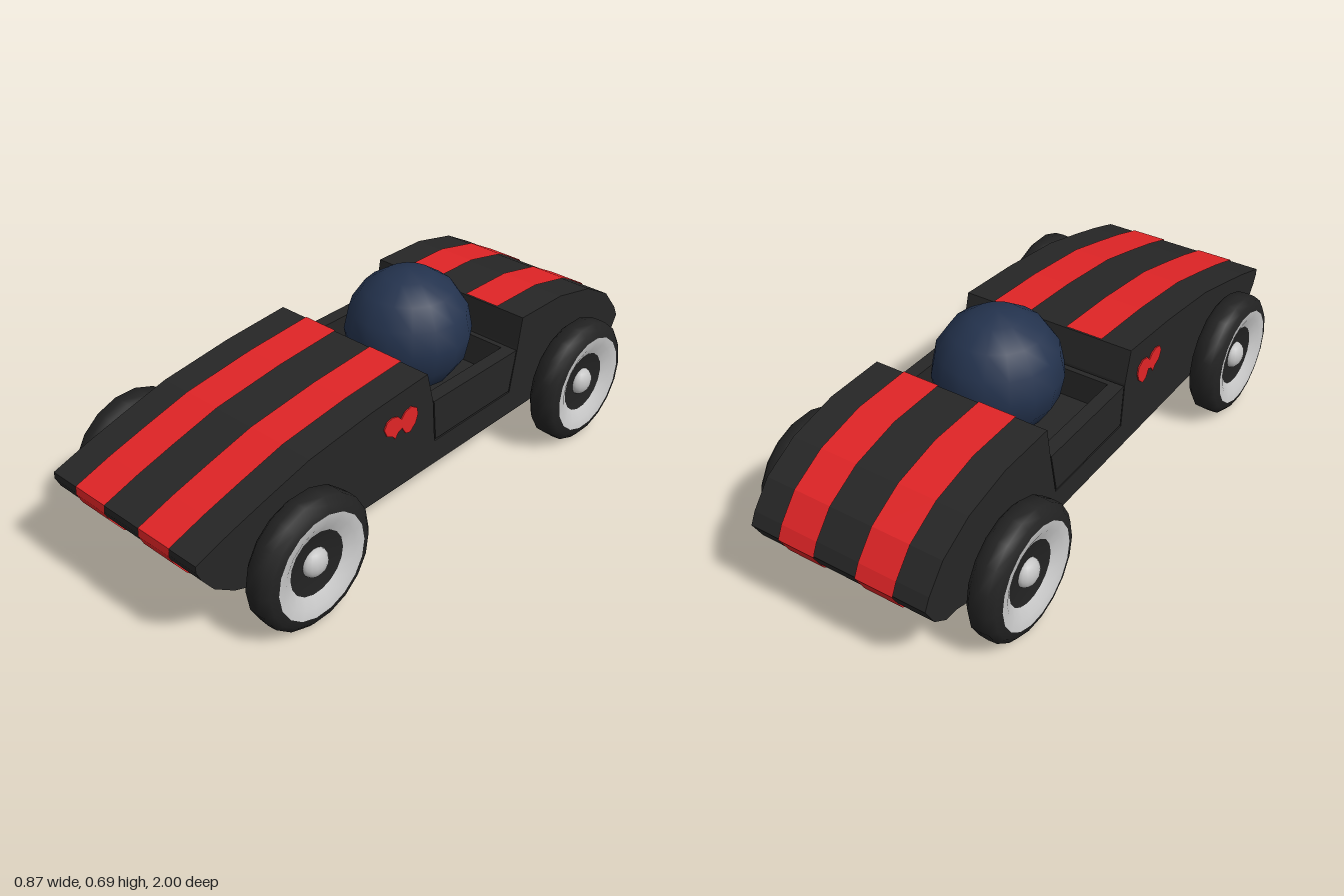
import * as THREE from 'three';

const mat = (name, color, side = THREE.FrontSide) => {
  const m = new THREE.MeshStandardMaterial({ color, side });
  m.name = name;
  return m;
};

export function createModel() {
  const model = new THREE.Group();
  model.name = 'toyRacer';
  const black = mat('black paint', 0x262626);
  const tyreBlack = mat('tyre rubber', 0x222222);
  const red = mat('red stripe', 0xe02426, THREE.DoubleSide);
  const navy = mat('navy blue', 0x24334e);
  const white = mat('whitewall', 0xcacaca);
  const silver = mat('silver metal', 0xc4c4c4);

  const add = (parent, name, geometry, material) => {
    const mesh = new THREE.Mesh(geometry, material);
    mesh.name = name;
    parent.add(mesh);
    return mesh;
  };

  // Side outline given as [z, y], extruded across x from x0 to x1
  const sideExtrude = (points, x0, x1) => {
    const shape = new THREE.Shape(points.map(([z, y]) => new THREE.Vector2(z, y)));
    const g = new THREE.ExtrudeGeometry(shape, { depth: x1 - x0, bevelEnabled: false });
    g.translate(0, 0, -x1);
    g.rotateY(-Math.PI / 2);
    return g;
  };

  // Body: front and rear decks joined below the cockpit notch
  const frontDeck = [
    [0.82, 0.18], [0.87, 0.2], [0.94, 0.25], [0.98, 0.305], [0.996, 0.34], [0.996, 0.362],
    [0.87, 0.402], [0.74, 0.437], [0.57, 0.48], [0.31, 0.512], [0.065, 0.529],
  ];
  const rearDeck = [
    [-0.41, 0.527], [-0.62, 0.524], [-0.79, 0.486], [-0.91, 0.42], [-0.976, 0.34],
    [-0.996, 0.3], [-0.96, 0.235], [-0.91, 0.2],
  ];
  const notch = [[0.035, 0.42], [0.022, 0.265], [-0.362, 0.265], [-0.392, 0.42]];
  add(model, 'body', sideExtrude(
    [...frontDeck, ...notch, ...rearDeck, [-0.86, 0.198], [-0.8, 0.18]], -0.31, 0.31), black);

  // Cockpit tub set into the notch with a fine seam around it
  const tub = new THREE.Group();
  tub.name = 'cockpitTub';
  model.add(tub);
  const panel = [[0.017, 0.271], [0.03, 0.415], [-0.387, 0.415], [-0.358, 0.271]];
  add(tub, 'leftPanel', sideExtrude(panel, 0.262, 0.31), black);
  add(tub, 'rightPanel', sideExtrude(panel, -0.31, -0.262), black);
  add(tub, 'floor', sideExtrude(
    [[0.017, 0.271], [0.02, 0.32], [-0.367, 0.32], [-0.358, 0.271]], -0.262, 0.262), black);
  add(tub, 'frontWall', sideExtrude(
    [[0.017, 0.31], [0.03, 0.415], [0.01, 0.415], [0, 0.31]], -0.262, 0.262), black);
  add(tub, 'rearWall', sideExtrude(
    [[-0.35, 0.31], [-0.368, 0.415], [-0.387, 0.415], [-0.366, 0.31]], -0.262, 0.262), black);

  // Rounded driver
  add(model, 'driverHead', new THREE.SphereGeometry(0.21, 16, 8), navy).position.set(0.02, 0.48, -0.18);

  // Racing stripes: thin bands lying just outside the deck outlines
  const band = (points, x0, x1) => {
    const pos = [];
    const lifted = points.map(([z, y], i) => {
      const a = points[Math.max(i - 1, 0)], b = points[Math.min(i + 1, points.length - 1)];
      const dz = b[0] - a[0], dy = b[1] - a[1], l = Math.hypot(dz, dy);
      return [z + 0.004 * dy / l, y - 0.004 * dz / l];
    });
    for (let i = 0; i < lifted.length - 1; i++) {
      const [za, ya] = lifted[i], [zb, yb] = lifted[i + 1];
      pos.push(x0, ya, za, x1, ya, za, x1, yb, zb, x0, ya, za, x1, yb, zb, x0, yb, zb);
    }
    const g = new THREE.BufferGeometry();
    g.setAttribute('position', new THREE.Float32BufferAttribute(pos, 3));
    g.computeVertexNormals();
    return g;
  };
  for (const [x0, x1] of [[-0.203, -0.072], [0.075, 0.205]]) {
    add(model, 'frontStripe', band(frontDeck.slice(1), x0, x1), red);
    add(model, 'rearStripe', band(rearDeck, x0, x1), red);
  }

  // Two-lobed badge on each flank
  const badge = [
    [0.262, 0.425], [0.25, 0.446], [0.225, 0.452], [0.2, 0.444], [0.186, 0.428], [0.17, 0.446],
    [0.14, 0.452], [0.115, 0.436], [0.11, 0.412], [0.12, 0.385], [0.145, 0.363], [0.165, 0.368],
    [0.182, 0.395], [0.2, 0.388], [0.212, 0.37], [0.225, 0.385], [0.25, 0.398],
  ];
  add(model, 'leftBadge', sideExtrude(badge, 0.308, 0.314), red);
  add(model, 'rightBadge', sideExtrude(badge, -0.314, -0.308), red);

  // Wheels: lathe profiles [radius, offset along the axle], outer face at +0.055
  const lathe = (points) => {
    const g = new THREE.LatheGeometry(points.map(([r, h]) => new THREE.Vector2(r, h)), 18);
    g.rotateZ(-Math.PI / 2);
    return g;
  };
  const tyreGeo = lathe([
    [0, -0.045], [0.1, -0.045], [0.17, -0.055], [0.195, -0.048], [0.215, -0.03],
    [0.217, 0], [0.215, 0.03], [0.195, 0.048], [0.17, 0.055],
  ]);
  const wallGeo = lathe([[0.17, 0.055], [0.14, 0.05], [0.105, 0.032]]);
  const dishGeo = lathe([[0.105, 0.032], [0.06, 0.022], [0, 0.022]]);
  const hubGeo = new THREE.SphereGeometry(0.047, 16, 10).scale(0.7, 1, 1);
  const axleGeo = new THREE.CylinderGeometry(0.03, 0.03, 0.7, 16).rotateZ(Math.PI / 2);
  for (const [end, z] of [['front', 0.65], ['rear', -0.65]]) {
    add(model, end + 'Axle', axleGeo, silver).position.set(0, 0.219, z);
    for (const s of [1, -1]) {
      const wheel = new THREE.Group();
      wheel.name = end + (s > 0 ? 'Left' : 'Right') + 'Wheel';
      add(wheel, 'tyre', tyreGeo, tyreBlack);
      add(wheel, 'whitewall', wallGeo, white);
      add(wheel, 'dish', dishGeo, tyreBlack);
      add(wheel, 'hubCap', hubGeo, silver).position.x = 0.022;
      wheel.position.set(s * 0.379, 0.217, z);
      if (s < 0) wheel.rotation.y = Math.PI;
      model.add(wheel);
    }
  }
  return model;
}
